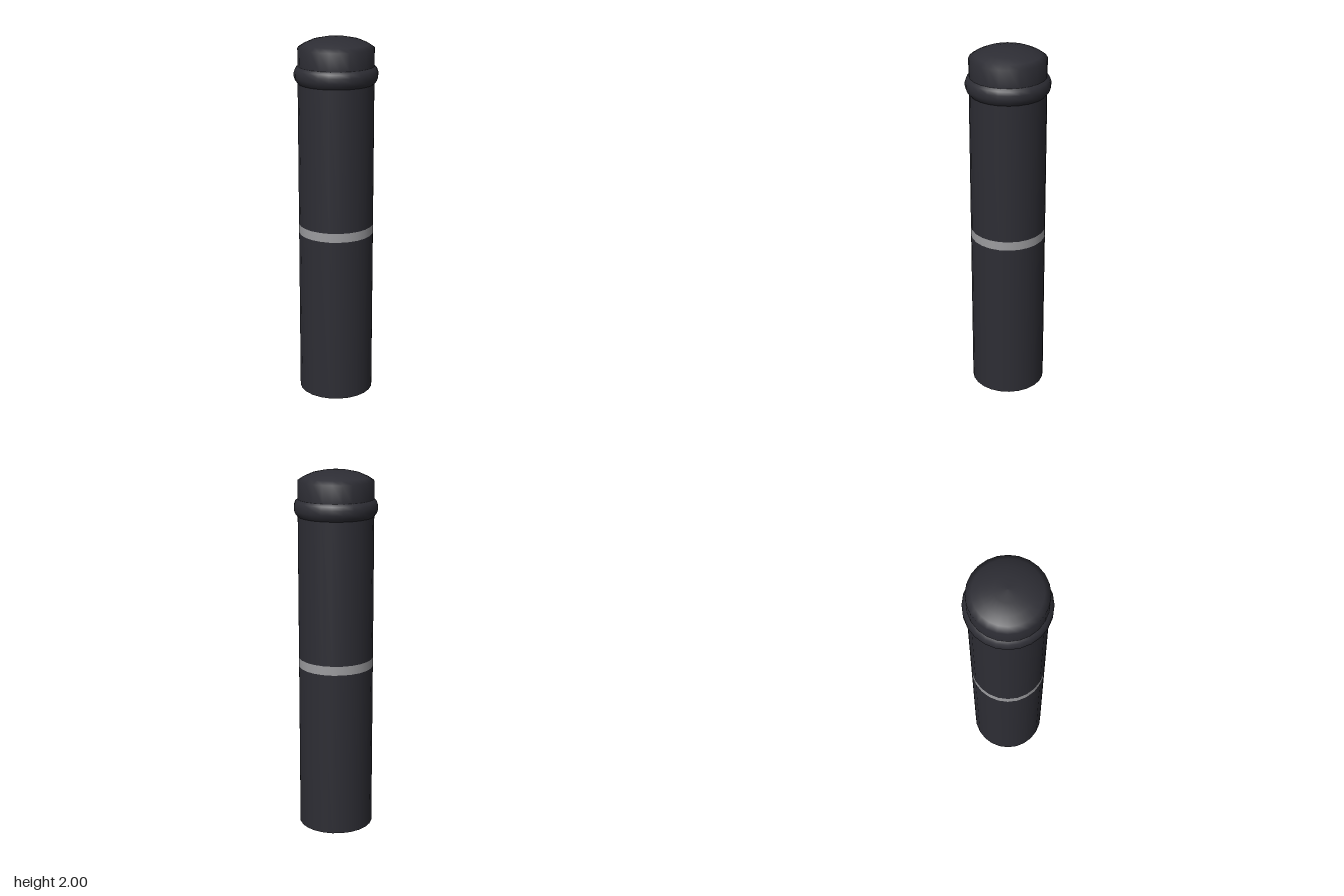
import * as THREE from 'three';

const SIDES = 24;
const R = 0.205;

export function createModel() {
  const group = new THREE.Group();
  const dark = new THREE.MeshStandardMaterial({ color: 0x2d2d34 });
  dark.name = 'charcoal metal';
  const grey = new THREE.MeshStandardMaterial({ color: 0x9c9c9f });
  grey.name = 'grey band';

  // Revolves [radius, height] pairs, listed from bottom to top
  const turned = (name, profile, material) => {
    const points = profile.map(([r, y]) => new THREE.Vector2(r, y));
    const mesh = new THREE.Mesh(new THREE.LatheGeometry(points, SIDES), material);
    mesh.name = name;
    group.add(mesh);
  };

  // Post, split by the flush band
  turned('lowerPost', [[R, 0], [R, 0.925]], dark);
  turned('band', [[R, 0.925], [R, 0.975]], grey);
  turned('upperPost', [[R, 0.975], [R, 1.76]], dark);

  // Rounded collar below the cap
  turned('collar', [[R, 1.755], [0.217, 1.77], [0.225, 1.79], [0.225, 1.815], [0.218, 1.835], [R, 1.847]], dark);

  // Cap with a shallow dome
  turned('cap', [[R, 1.845], [R, 1.943], [0.175, 1.963], [0.13, 1.983], [0.07, 1.996], [0, 2]], dark);

  // Closed underside
  const base = new THREE.Mesh(new THREE.CircleGeometry(R, SIDES), dark);
  base.name = 'base';
  base.rotation.x = Math.PI / 2;
  group.add(base);

  return group;
}
